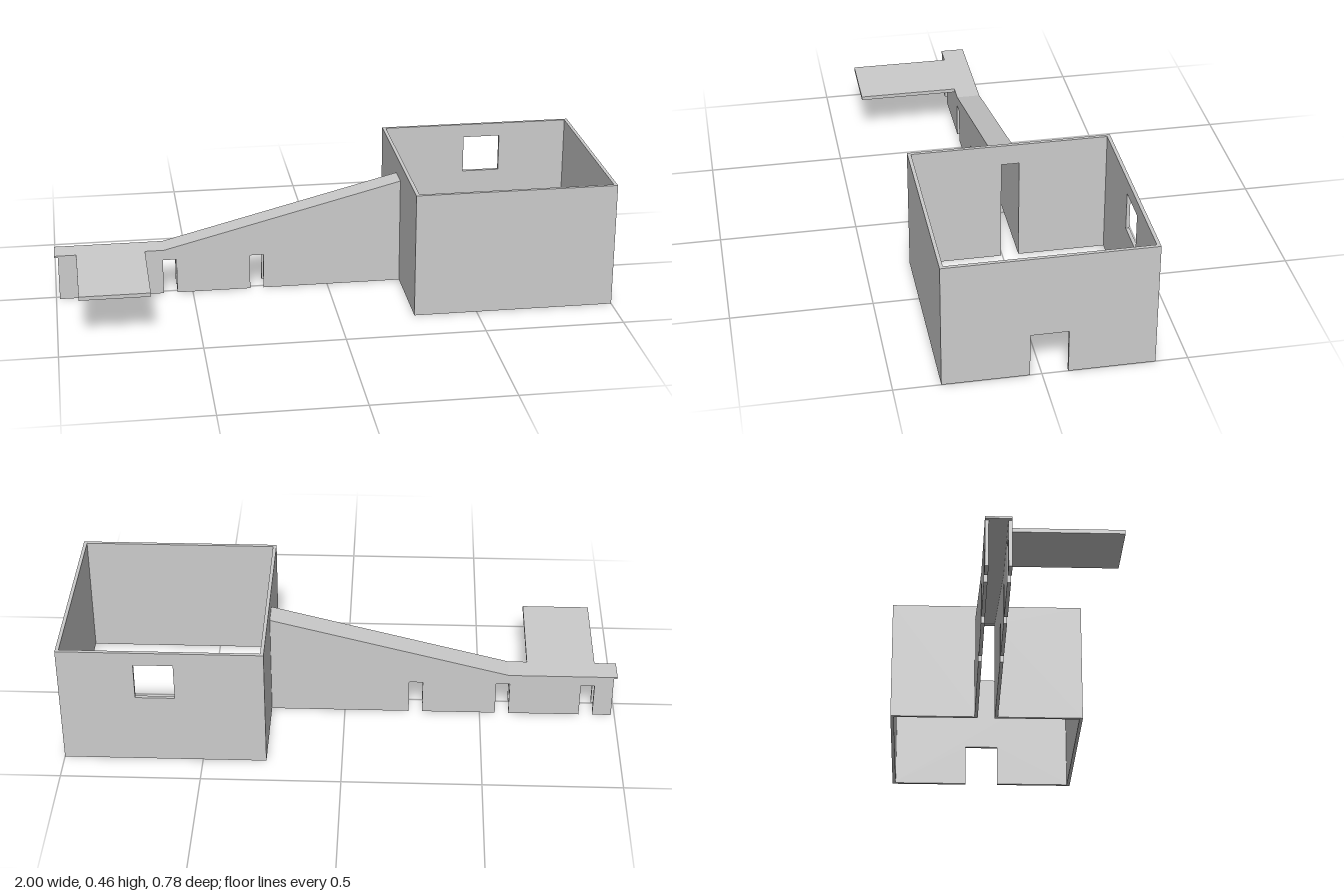
import * as THREE from 'three';

const T = 0.0125; // wall thickness
const ROOM = { x0: 0.272, x1: 1, z0: -0.388, z1: 0.338, h: 0.461 };
const HALL = { x0: -0.987, x1: ROOM.x0, z0: -0.0715, z1: 0.0175 };

const rect = (a0, b0, a1, b1) => [[a0, b0], [a1, b0], [a1, b1], [a0, b1]];

export function createModel() {
  const model = new THREE.Group();
  const material = new THREE.MeshStandardMaterial({ color: 0xcccccc, flatShading: true });

  const add = (name, geometry, parent) => {
    const mesh = new THREE.Mesh(geometry, material);
    mesh.name = name;
    parent.add(mesh);
    return mesh;
  };

  // Flat panel cut from an outline, with optional holes
  const panel = (outline, depth, holes = []) => {
    const toPoints = (list) => list.map(([a, b]) => new THREE.Vector2(a, b));
    const shape = new THREE.Shape(toPoints(outline));
    holes.forEach((h) => shape.holes.push(new THREE.Path(toPoints(h))));
    return new THREE.ExtrudeGeometry(shape, { depth, bevelEnabled: false });
  };

  // Wall outline with doorways cut up from the ground: doors are [start, end, height]
  const wallWithDoors = (start, end, top, doors) => {
    const pts = [[start, 0]];
    doors.forEach(([a, b, h]) => pts.push([a, 0], [a, h], [b, h], [b, 0]));
    return [...pts, [end, 0], ...top];
  };

  // Room: four walls, open above and below
  const room = new THREE.Group();
  room.name = 'room';
  model.add(room);

  const inner = rect(ROOM.x0 + T, 0, ROOM.x1 - T, ROOM.h);
  add('frontWall', panel(inner, T), room).position.z = ROOM.z1 - T;
  const windowHole = rect(0.59, 0.27, 0.73, 0.41);
  add('backWallWithWindow', panel(inner, T, [windowHole]), room).position.z = ROOM.z0;

  // Side walls: outline runs along z, thickness along -x
  const sideWall = (name, xOuter, door) => {
    const top = [[ROOM.z1, ROOM.h], [ROOM.z0, ROOM.h]];
    const geometry = panel(wallWithDoors(ROOM.z0, ROOM.z1, top, [door]), T);
    geometry.rotateY(-Math.PI / 2);
    add(name, geometry, room).position.x = xOuter;
  };
  sideWall('entranceWall', ROOM.x1, [-0.09, 0.04, 0.161]);
  sideWall('corridorWall', ROOM.x0 + T, [HALL.z0 + T, HALL.z1 - T, 0.385]);

  // Corridor: two walls with aligned doorways under a sloping roof
  const corridor = new THREE.Group();
  corridor.name = 'corridor';
  model.add(corridor);

  const doors = [-0.918, -0.607, -0.287].map((x) => [x, x + 0.05, 0.132]);
  const wallTop = [[HALL.x1, 0.387], [-0.6, 0.164], [HALL.x0, 0.164]];
  const outline = wallWithDoors(HALL.x0, HALL.x1, wallTop, doors);
  add('corridorFrontWall', panel(outline, T), corridor).position.z = HALL.z1 - T;
  add('corridorBackWall', panel(outline, T), corridor).position.z = HALL.z0;

  const roof = [
    [-1, 0.164], [-0.6, 0.164], [HALL.x1, 0.387],
    [HALL.x1, 0.395], [-0.602, 0.171], [-1, 0.171],
  ];
  add('corridorRoof', panel(roof, HALL.z1 - HALL.z0), corridor).position.z = HALL.z0;

  // Canopy projecting forward from the low end of the roof
  const canopyLength = 0.389 - HALL.z1;
  const canopy = add('canopy', new THREE.BoxGeometry(0.25, 0.014, canopyLength), model);
  canopy.position.set(-0.796, 0.164, HALL.z1 + canopyLength / 2);

  return model;
}
